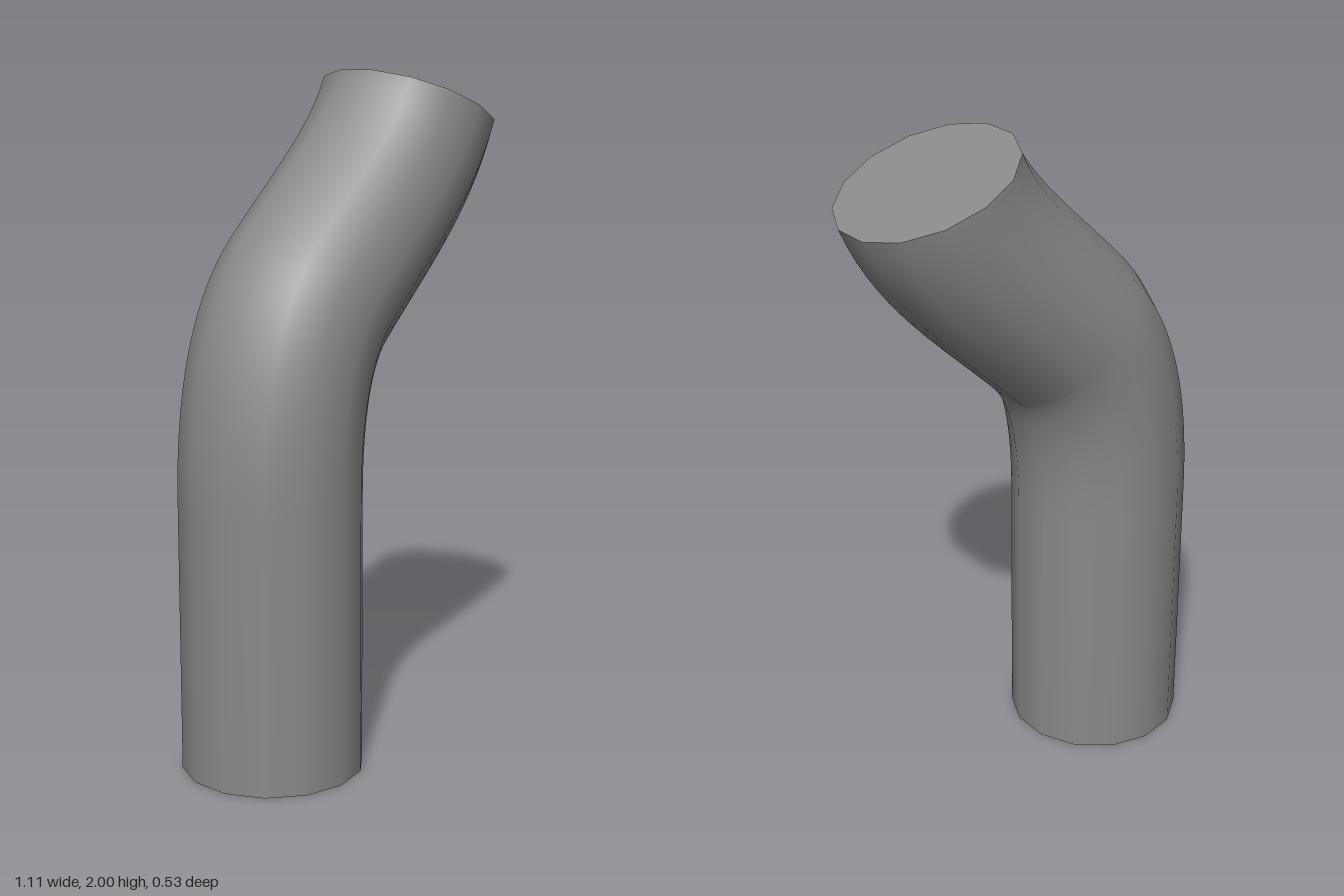
import * as THREE from 'three';

const RADIUS = 0.267, SIDES = 14, BEND_ROWS = 32, SHAFT_X = -0.294;

// Centre line of the bend: an elbow tightening towards 45 degrees, then a gentle return upwards
const v = (x, y) => new THREE.Vector3(x, y, 0);
const bend = new THREE.CurvePath();
bend.add(new THREE.QuadraticBezierCurve3(v(SHAFT_X, 0.8), v(SHAFT_X, 1.221), v(-0.13, 1.385)));
bend.add(new THREE.CubicBezierCurve3(v(-0.13, 1.385), v(0.05, 1.565), v(0.234, 1.706), v(0.315, 1.9)));

// Centre and tilt of each ring: row 0 is the foot, row 1 the start of the bend
function ringFrame(row) {
  if (row === 0) return { centre: v(SHAFT_X, 0), tilt: 0 };
  const t = (row - 1) / BEND_ROWS;
  const dir = bend.getTangent(t);
  return { centre: bend.getPoint(t), tilt: -Math.atan2(dir.x, dir.y) };
}

export function createModel() {
  const group = new THREE.Group();
  group.name = 'bentPipe';

  // Capped cylinder whose rings are carried onto the centre line
  const rows = BEND_ROWS + 1;
  const frames = Array.from({ length: rows + 1 }, (_, row) => ringFrame(row));
  const geometry = new THREE.CylinderGeometry(RADIUS, RADIUS, 1, SIDES, rows);
  const { position, normal } = geometry.attributes;
  const axis = new THREE.Vector3(0, 0, 1);
  const p = new THREE.Vector3(), n = new THREE.Vector3();
  for (let i = 0; i < position.count; i++) {
    p.fromBufferAttribute(position, i);
    n.fromBufferAttribute(normal, i);
    const { centre, tilt } = frames[Math.round((p.y + 0.5) * rows)];
    p.y = 0;
    p.applyAxisAngle(axis, tilt).add(centre);
    n.applyAxisAngle(axis, tilt);
    position.setXYZ(i, p.x, p.y, p.z);
    normal.setXYZ(i, n.x, n.y, n.z);
  }

  const pipe = new THREE.Mesh(geometry, new THREE.MeshStandardMaterial({ color: 0x8a8a8a }));
  pipe.name = 'pipe';
  group.add(pipe);
  return group;
}
